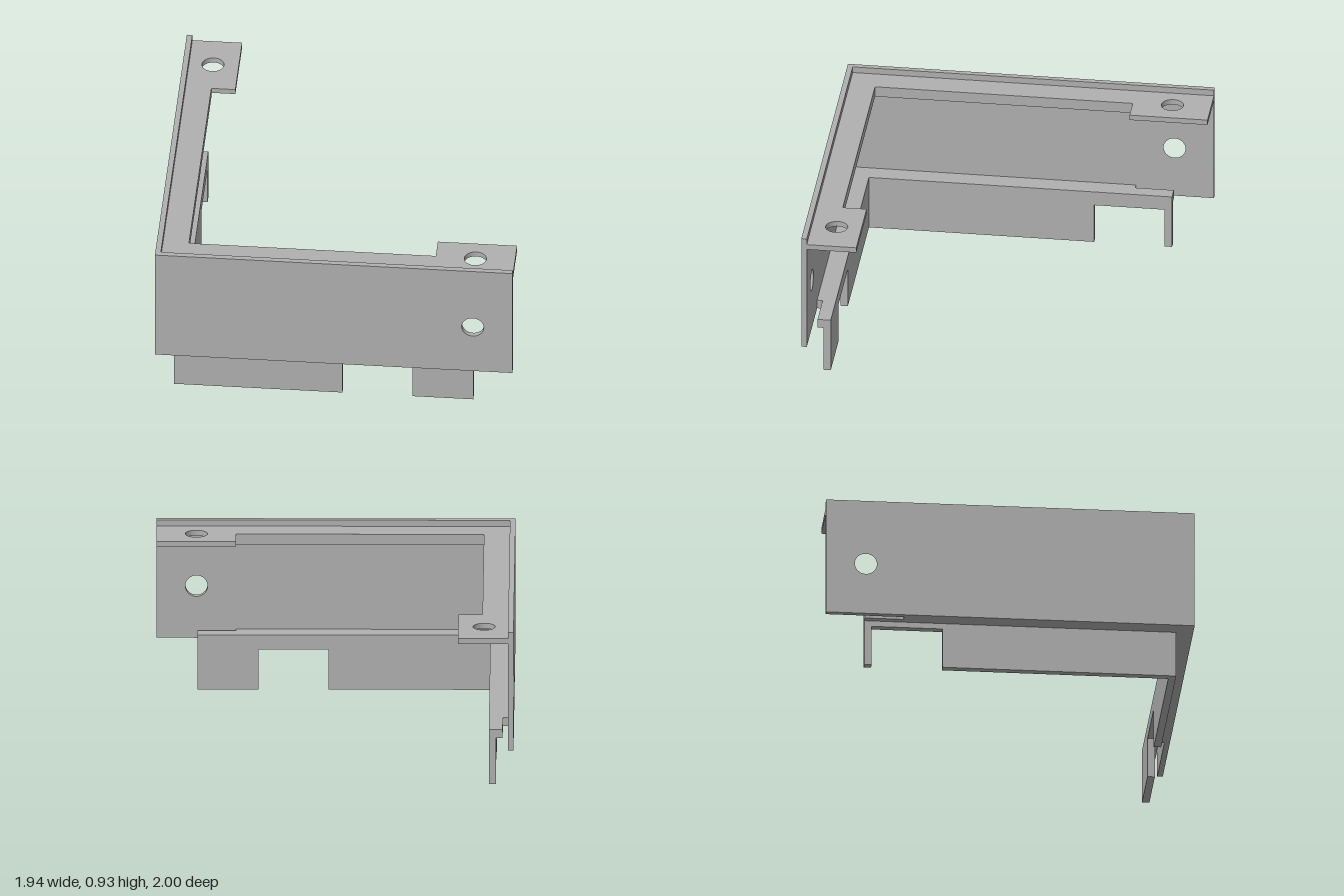
import * as THREE from 'three';

const grey = new THREE.MeshStandardMaterial({ color: 0xb0b0b0 });
grey.name = 'plain grey';

// Closed outline from [a, b] pairs, with optional round hole [a, b, radius]
function outline(points, hole) {
  const shape = new THREE.Shape(points.map(([a, b]) => new THREE.Vector2(a, b)));
  for (const [a, b, r] of hole || []) {
    const path = new THREE.Path();
    path.absarc(a, b, r, 0, Math.PI * 2, true);
    shape.holes.push(path);
  }
  return shape;
}

function extrude(shape, depth) {
  return new THREE.ExtrudeGeometry(shape, { depth, bevelEnabled: false, curveSegments: 32 });
}

function part(name, geometry) {
  const mesh = new THREE.Mesh(geometry, grey);
  mesh.name = name;
  return mesh;
}

// Upright plate facing the front: points are [x, y]
function frontPlate(name, points, z0, z1, hole) {
  return part(name, extrude(outline(points, hole), z1 - z0).translate(0, 0, z0));
}

// Upright plate facing the side: points are [z, y]
function sidePlate(name, points, x0, x1, hole) {
  const flip = (list) => list.map(([z, ...rest]) => [-z, ...rest]);
  const geo = extrude(outline(flip(points), hole && flip(hole)), x1 - x0);
  return part(name, geo.rotateY(Math.PI / 2).translate(x0, 0, 0));
}

// Level plate: points are [x, z]
function levelPlate(name, points, y0, y1, hole) {
  const flip = (list) => list.map(([x, z, ...rest]) => [x, -z, ...rest]);
  const geo = extrude(outline(flip(points), hole && flip(hole)), y1 - y0);
  return part(name, geo.rotateX(-Math.PI / 2).translate(0, y0, 0));
}

const rect = (a0, b0, a1, b1) => [[a0, b0], [a1, b0], [a1, b1], [a0, b1]];

export function createModel() {
  const model = new THREE.Group();
  model.name = 'cornerBracket';

  // Outer walls, each with a screw hole near its free end
  model.add(
    frontPlate('frontWall', rect(-0.97, 0.26, 0.97, 0.93), 0.97, 1, [[0.755, 0.555, 0.06]]),
    sidePlate('sideWall', rect(-1, 0.26, 0.97, 0.93), -0.97, -0.94, [[-0.785, 0.555, 0.06]])
  );

  // Top flange with a drilled tab at each end
  model.add(levelPlate('topFlange', [
    [-0.94, 0.97], [0.97, 0.97], [0.97, 0.7], [0.54, 0.7], [0.54, 0.83], [-0.8, 0.83],
    [-0.8, -0.575], [-0.67, -0.575], [-0.67, -1], [-0.94, -1]
  ], 0.865, 0.895, [[0.755, 0.835, 0.06], [-0.81, -0.79, 0.06]]));

  // Thickening under the flange between the tabs
  model.add(levelPlate('flangeUnderside', [
    [-0.94, 0.97], [0.54, 0.97], [0.54, 0.83], [-0.8, 0.83], [-0.8, -0.575], [-0.94, -0.575]
  ], 0.835, 0.865));

  // Ledge joining walls to skirt, with a slot beside the wall at both ends
  model.add(levelPlate('lowerLedge', [
    [-0.94, 0.97], [0.54, 0.97], [0.54, 0.94], [0.75, 0.94], [0.75, 0.868], [-0.835, 0.868],
    [-0.835, -0.785], [-0.91, -0.785], [-0.91, -0.575], [-0.94, -0.575]
  ], 0.26, 0.31));

  // Inset skirt with a notch in each arm
  model.add(
    frontPlate('frontSkirt', [
      [-0.875, 0], [0.04, 0], [0.04, 0.228], [0.42, 0.228], [0.42, 0], [0.75, 0],
      [0.75, 0.26], [-0.875, 0.26]
    ], 0.868, 0.908),
    sidePlate('sideSkirt', [
      [0.868, 0], [-0.36, 0], [-0.36, 0.228], [-0.745, 0.228], [-0.745, 0], [-0.785, 0],
      [-0.785, 0.26], [0.868, 0.26]
    ], -0.875, -0.835)
  );

  return model;
}
